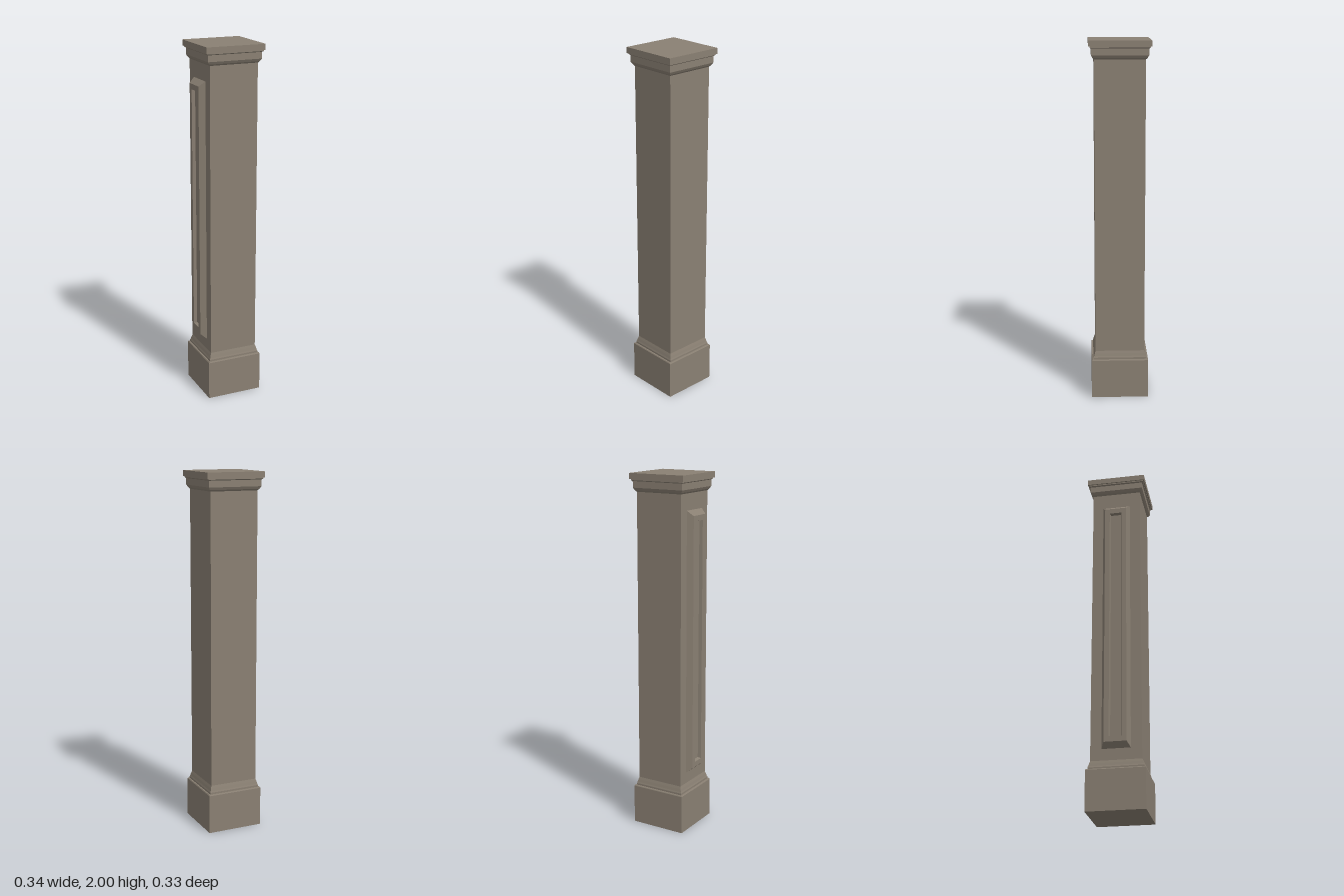
import * as THREE from 'three';

// Faceted solid through centred rectangles [halfX, halfZ, y], closed at both ends.
function loft(rects) {
  const corners = ([a, b, y]) => [[-a, y, b], [a, y, b], [a, y, -b], [-a, y, -b]];
  const pos = [];
  const quad = (a, b, c, d) => pos.push(...a, ...b, ...c, ...a, ...c, ...d);
  const rings = rects.map(corners);
  for (let i = 0; i < rings.length - 1; i++) {
    const lo = rings[i], hi = rings[i + 1];
    for (let k = 0; k < 4; k++) {
      const n = (k + 1) % 4;
      quad(lo[k], lo[n], hi[n], hi[k]);
    }
  }
  quad(...rings[0].slice().reverse());
  quad(...rings[rings.length - 1]);
  const geo = new THREE.BufferGeometry();
  geo.setAttribute('position', new THREE.Float32BufferAttribute(pos, 3));
  geo.computeVertexNormals();
  return geo;
}

// Square section along a [half width, y] profile.
const square = (profile) => loft(profile.map(([r, y]) => [r, r, y]));

export function createModel() {
  const group = new THREE.Group();
  const material = new THREE.MeshStandardMaterial({ color: 0x8a8073, flatShading: true });
  const add = (name, geometry) => {
    const mesh = new THREE.Mesh(geometry, material);
    mesh.name = name;
    group.add(mesh);
    return mesh;
  };

  // Plinth, with its moulding stepping in to the shaft
  add('plinth', square([[0.159, 0], [0.159, 0.22], [0.156, 0.225]]));
  add('baseMoulding', square([
    [0.149, 0.225], [0.149, 0.235], [0.146, 0.243], [0.142, 0.258], [0.1375, 0.272],
  ]));

  add('shaft', square([[0.1375, 0.225], [0.1375, 1.91]]));

  // Flared neck moulding under the flat cap slab
  add('capMoulding', square([
    [0.1375, 1.9], [0.145, 1.908], [0.153, 1.922], [0.153, 1.957], [0.16, 1.962], [0.16, 1.97],
  ]));
  add('cap', square([[0.167, 1.968], [0.167, 2]]));

  // Raised panel on the right face: bevelled edge, flat rim, recessed field
  const panel = add('sidePanel', loft([
    [0.7375, 0.078, 0.13], [0.7375, 0.078, 0.1375], [0.71, 0.061, 0.17],
    [0.68, 0.034, 0.17], [0.675, 0.029, 0.152],
  ]));
  panel.rotation.z = Math.PI / 2;
  panel.position.y = 1.0725;

  return group;
}
